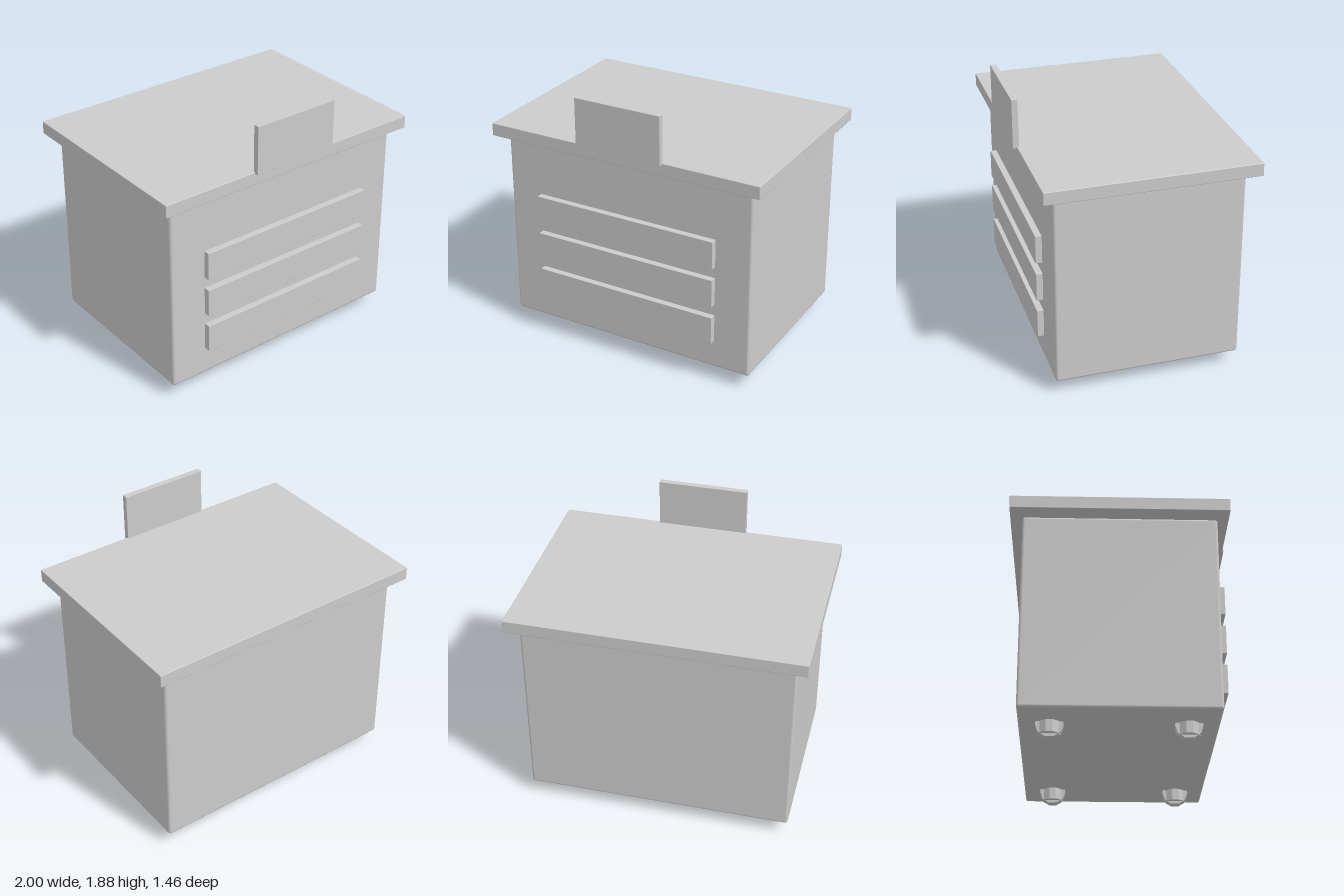
import * as THREE from 'three';
import { RoundedBoxGeometry } from 'three/addons/geometries/RoundedBoxGeometry.js';

const material = new THREE.MeshStandardMaterial({ color: 0xcccccc });
const flat = new THREE.MeshStandardMaterial({ color: 0xcccccc, flatShading: true });

// Softly rounded box given by its lower and upper limits
function slab(name, [x0, y0, z0], [x1, y1, z1], radius) {
  const geometry = new RoundedBoxGeometry(x1 - x0, y1 - y0, z1 - z0, 2, radius);
  const mesh = new THREE.Mesh(geometry, material);
  mesh.name = name;
  mesh.position.set((x0 + x1) / 2, (y0 + y1) / 2, (z0 + z1) / 2);
  return mesh;
}

// Upright housing with a low-poly wheel showing beneath it
function makeCaster(x, z) {
  const caster = new THREE.Group();
  caster.name = 'caster';
  const housing = new THREE.Mesh(new THREE.CylinderGeometry(0.07, 0.07, 0.085, 10), flat);
  housing.name = 'casterHousing';
  housing.position.y = 0.0625;
  const wheelGeometry = new THREE.CylinderGeometry(0.09, 0.09, 0.062, 10);
  wheelGeometry.rotateY(Math.PI / 10).rotateZ(Math.PI / 2);
  const wheel = new THREE.Mesh(wheelGeometry, flat);
  wheel.name = 'casterWheel';
  // Turn so that a flat side rests on the ground
  const position = wheelGeometry.attributes.position;
  let low = 0, count = 0;
  for (let i = 0; i < position.count; i++) low = Math.min(low, position.getY(i));
  for (let i = 0; i < position.count; i++) if (position.getY(i) < low + 1e-4 && Math.abs(position.getZ(i)) < 1e-4) count++;
  if (count) wheelGeometry.rotateX(Math.PI / 10);
  wheel.position.y = 0.09 * Math.cos(Math.PI / 10);
  caster.add(housing, wheel);
  caster.position.set(x, 0, z);
  return caster;
}

export function createModel() {
  const model = new THREE.Group();
  model.name = 'drawerCabinet';

  // Cabinet and overhanging top
  model.add(slab('cabinetBody', [-0.92, 0.1, -0.647], [0.92, 1.437, 0.627], 0.018));
  model.add(slab('worktop', [-1, 1.457, -0.73], [1, 1.547, 0.705], 0.005));

  // Upright panel on the front edge
  model.add(slab('frontPanel', [-0.313, 1.535, 0.689], [0.313, 1.875, 0.73], 0.002));

  // Drawer fronts standing just clear of the body
  for (const y of [0.31, 0.59, 0.87]) {
    model.add(slab('drawerFront', [-0.67, y, 0.64], [0.67, y + 0.2, 0.685], 0.003));
  }

  // Four casters
  for (const x of [-0.657, 0.657]) {
    for (const z of [-0.447, 0.428]) model.add(makeCaster(x, z));
  }
  return model;
}
